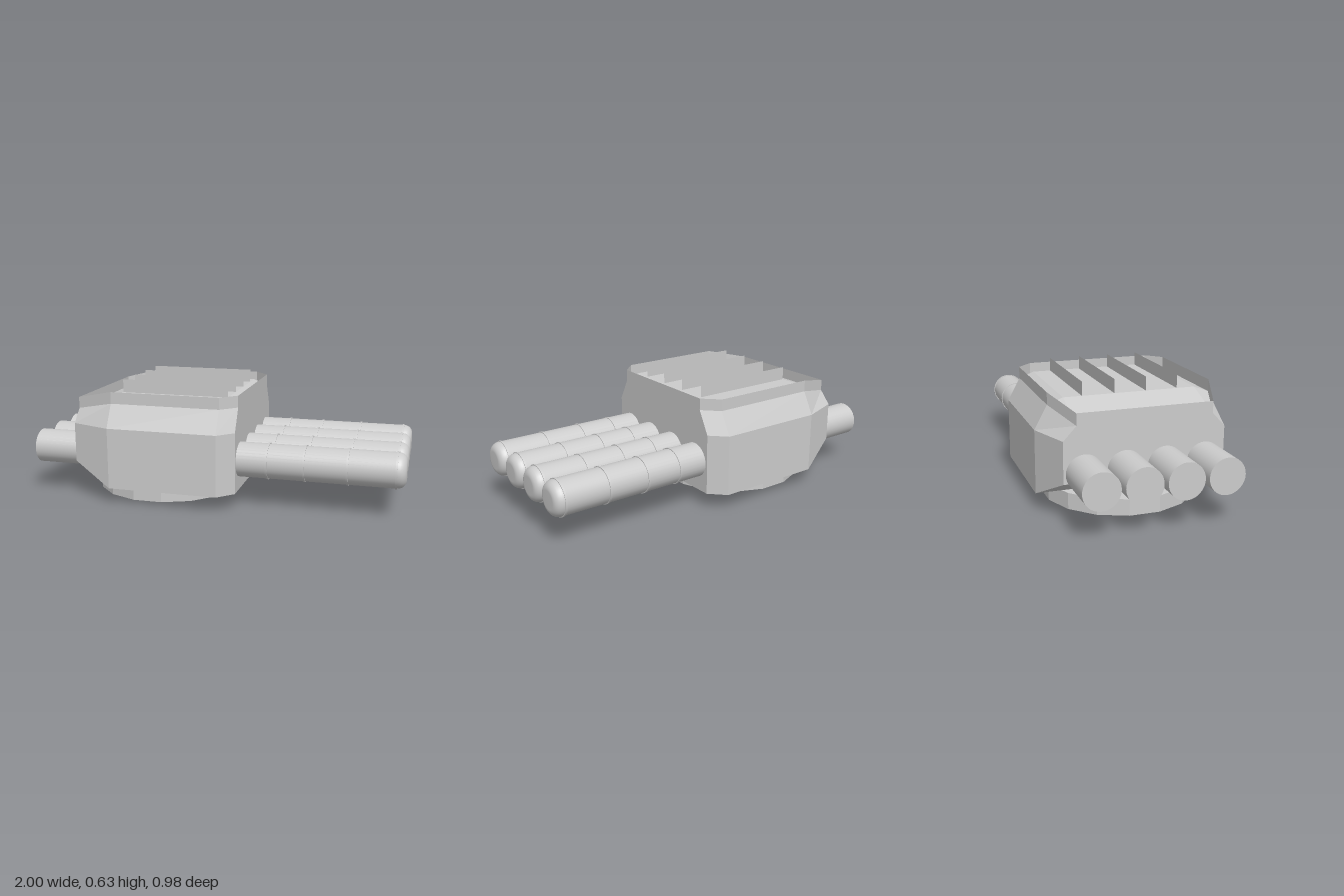
import * as THREE from 'three';

const mat = (opts = {}) => new THREE.MeshStandardMaterial({ color: 0xcccccc, ...opts });
const smooth = mat();
const flat = mat({ flatShading: true });
const flatThin = mat({ flatShading: true, side: THREE.DoubleSide });

function add(parent, name, geometry, material) {
  const mesh = new THREE.Mesh(geometry, material);
  mesh.name = name;
  parent.add(mesh);
  return mesh;
}

// Faceted surface from a list of four-cornered faces
function quadGeometry(quads) {
  const pos = [];
  for (const [a, b, c, d] of quads) pos.push(...a, ...b, ...c, ...a, ...c, ...d);
  const g = new THREE.BufferGeometry();
  g.setAttribute('position', new THREE.Float32BufferAttribute(pos, 3));
  g.computeVertexNormals();
  return g;
}

// Faces between neighbouring cross-sections
function loft(rows, flip = false) {
  const quads = [];
  for (let i = 0; i < rows.length - 1; i++) {
    for (let j = 0; j < rows[i].length - 1; j++) {
      const q = [rows[i][j], rows[i + 1][j], rows[i + 1][j + 1], rows[i][j + 1]];
      quads.push(flip ? q.reverse() : q);
    }
  }
  return quads;
}

// Armoured housing: sections along x, with a thin rim round a sunken roof
function buildHousing(parent) {
  const stations = [
    { x: -0.75, w: 0.41, bottom: 0.2, shoulder: 0.48, rim: 0.54, roof: 0.48 },
    { x: -0.53, w: 0.49, bottom: 0.085, shoulder: 0.53, rim: 0.592, roof: 0.56 },
    { x: 0.06, w: 0.49, bottom: 0.085, shoulder: 0.53, rim: 0.592, roof: 0.56 },
    { x: 0.14, w: 0.41, bottom: 0.085, shoulder: 0.53, rim: 0.592, roof: 0.53 },
  ];
  const halfProfile = (s) => [
    [s.rim, s.w - 0.065], [s.shoulder, s.w - 0.065], [0.41, s.w], [s.bottom, s.w],
  ];
  const shell = stations.map((s) => {
    const half = halfProfile(s);
    return [
      ...half.map(([y, z]) => [s.x, y, -z]),
      ...half.reverse().map(([y, z]) => [s.x, y, z]),
    ];
  });
  const quads = loft(shell);
  // End walls
  for (const row of [shell[0], shell[3]]) {
    for (let j = 0; j < 3; j++) {
      const q = [row[j + 1], row[j], row[7 - j], row[6 - j]];
      quads.push(row === shell[0] ? q.reverse() : q);
    }
  }
  add(parent, 'housing', quadGeometry(quads), flatThin);

  const roof = stations.map((s) => [
    [s.x, s.shoulder, 0.065 - s.w], [s.x, s.roof, -0.345],
    [s.x, s.roof, 0.345], [s.x, s.shoulder, s.w - 0.065],
  ]);
  add(parent, 'roof', quadGeometry(loft(roof, true)), flatThin);

  // Thin upright roof fins
  for (const z of [-0.25, -0.083, 0.083, 0.25]) {
    add(parent, 'roofFin', new THREE.PlaneGeometry(0.59, 0.072), flatThin)
      .position.set(-0.235, 0.595, z);
  }
}

// One tube running along x, with raised bands and a rounded muzzle
function buildBarrel(z) {
  const barrel = new THREE.Group();
  barrel.name = 'barrel';
  const r = 0.092;
  const tube = (name, radius, x0, x1) => {
    const g = new THREE.CylinderGeometry(radius, radius, x1 - x0, 32);
    g.rotateZ(-Math.PI / 2);
    add(barrel, name, g, smooth).position.x = (x0 + x1) / 2;
  };
  tube('tube', r, -1, 0.955);
  for (const x of [0.297, 0.49, 0.71, 0.95]) tube('band', 0.096, x - 0.005, x + 0.005);

  const profile = [];
  for (let i = 0; i <= 6; i++) {
    const a = (i / 6) * Math.PI / 2;
    profile.push(new THREE.Vector2(r - 0.045 + 0.045 * Math.cos(a), 0.955 + 0.045 * Math.sin(a)));
  }
  profile.push(new THREE.Vector2(0, 1));
  const tip = new THREE.LatheGeometry(profile, 32);
  tip.rotateZ(-Math.PI / 2);
  add(barrel, 'muzzle', tip, smooth);

  barrel.position.set(0, 0.247, z);
  return barrel;
}

export function createModel() {
  const model = new THREE.Group();
  model.name = 'turret';

  // Turntable
  const base = new THREE.CylinderGeometry(0.406, 0.406, 0.085, 16);
  base.rotateY(Math.PI / 16);
  add(model, 'turntable', base, flat).position.set(-0.35, 0.0425, 0);

  buildHousing(model);
  for (const z of [-0.306, -0.102, 0.102, 0.306]) model.add(buildBarrel(z));
  return model;
}
